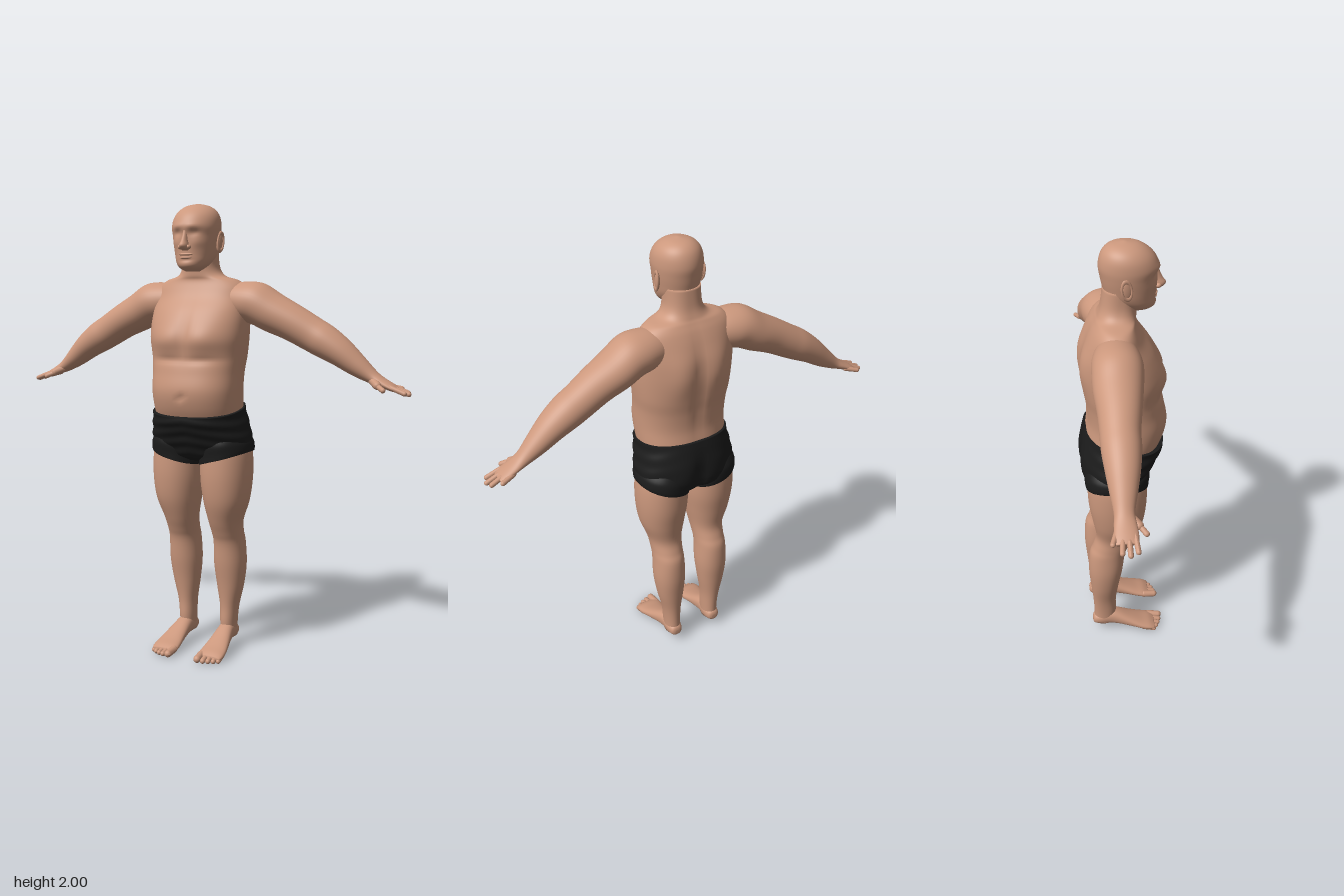
import * as THREE from 'three';

const skin = new THREE.MeshStandardMaterial({ color: 0xcc987d });
skin.name = 'skin';
const cloth = new THREE.MeshStandardMaterial({ color: 0x1c1c1c });
cloth.name = 'blackCloth';
const white = new THREE.MeshStandardMaterial({ color: 0xd8cfc8 });
white.name = 'eyeWhite';
const dark = new THREE.MeshStandardMaterial({ color: 0x2b1c16 });
dark.name = 'darkBrown';

// Soft bump centred on (a, b) with radii ra, rb
const bump = (x, y, a, b, ra, rb) => Math.exp(-(((x - a) / ra) ** 2) - ((y - b) / rb) ** 2);
const pow = (v, e) => Math.sign(v) * Math.abs(v) ** e;

// Closed skin through rings: rows are splined, place() turns a row and an angle into a point
function loft(rows, place, sides = 40, steps = 5) {
  const pos = [], index = [];
  const at = (i) => rows[Math.max(0, Math.min(rows.length - 1, i))];
  const count = (rows.length - 1) * steps;
  for (let k = 0; k <= count; k++) {
    const i = Math.min(Math.floor(k / steps), rows.length - 2), t = k / steps - i;
    const row = rows[0].map((_, c) => {
      const [p, q, r, s] = [at(i - 1)[c], at(i)[c], at(i + 1)[c], at(i + 2)[c]];
      return q + 0.5 * t * (r - p + t * (2 * p - 5 * q + 4 * r - s + t * (3 * (q - r) + s - p)));
    });
    for (let j = 0; j < sides; j++) {
      const a = (j / sides) * Math.PI * 2;
      pos.push(...place(row, Math.cos(a), Math.sin(a)));
    }
  }
  for (let k = 0; k < count; k++) for (let j = 0; j < sides; j++) {
    const n = (j + 1) % sides, a = k * sides + j, c = k * sides + n;
    index.push(a, a + sides, c, c, a + sides, c + sides);
  }
  // End caps
  for (const k of [0, count]) {
    const mid = [0, 0, 0], id = pos.length / 3;
    for (let j = 0; j < sides; j++) for (let d = 0; d < 3; d++) mid[d] += pos[(k * sides + j) * 3 + d] / sides;
    pos.push(...mid);
    for (let j = 0; j < sides; j++) {
      const a = k * sides + j, b = k * sides + ((j + 1) % sides);
      index.push(id, ...(k ? [b, a] : [a, b]));
    }
  }
  const g = new THREE.BufferGeometry();
  g.setAttribute('position', new THREE.Float32BufferAttribute(pos, 3));
  g.setIndex(index);
  g.computeVertexNormals();
  return g;
}

// Upright ring, row = [y, centre x, half width, front z, back z]
const upright = (e = 1) => ([y, cx, w, f, b], c, s) =>
  [cx + w * pow(c, e), y, (f + b) / 2 + ((f - b) / 2) * pow(s, e)];

function ellipsoid(x, y, z, rx, ry, rz) {
  return new THREE.SphereGeometry(1, 20, 14).scale(rx, ry, rz).translate(x, y, z);
}

// Rounded digit between two points
function digit(a, b, r) {
  const p = new THREE.Vector3(...a), q = new THREE.Vector3(...b), d = q.clone().sub(p);
  const g = new THREE.CapsuleGeometry(r, d.length(), 6, 12);
  g.applyQuaternion(new THREE.Quaternion().setFromUnitVectors(new THREE.Vector3(0, 1, 0), d.normalize()));
  return g.translate(...p.add(q).multiplyScalar(0.5).toArray());
}

function mirrored(geo) {
  const g = geo.clone().scale(-1, 1, 1), ix = g.index.array;
  for (let i = 0; i < ix.length; i += 3) [ix[i], ix[i + 1]] = [ix[i + 1], ix[i]];
  g.computeVertexNormals();
  return g;
}

export function createModel() {
  const model = new THREE.Group();
  model.name = 'man';
  const add = (name, geo, mat = skin) => {
    const m = new THREE.Mesh(geo, mat);
    m.name = name;
    model.add(m);
  };
  const pair = (name, geo, mat = skin) => {
    add(name + 'Left', geo, mat);
    add(name + 'Right', mirrored(geo), mat);
  };

  // Torso and neck, with chest, belly, shoulder blades and spine shaped in
  add('torso', loft([
    [1.04, 0, 0.19, 0.13, -0.16], [1.12, 0, 0.197, 0.172, -0.163], [1.2, 0, 0.2, 0.19, -0.155],
    [1.28, 0, 0.203, 0.176, -0.16], [1.35, 0, 0.212, 0.164, -0.17], [1.42, 0, 0.219, 0.172, -0.177],
    [1.48, 0, 0.221, 0.158, -0.177], [1.54, 0, 0.22, 0.128, -0.17], [1.6, 0, 0.215, 0.085, -0.152],
    [1.645, 0, 0.203, 0.062, -0.133], [1.675, 0, 0.168, 0.052, -0.115], [1.695, 0, 0.106, 0.056, -0.103],
    [1.735, 0, 0.081, 0.06, -0.09], [1.81, 0, 0.079, 0.07, -0.08],
  ], (r, c, s) => {
    const p = upright(0.86)(r, c, s), x = Math.abs(p[0]), y = p[1];
    if (s > 0) {
      p[2] += s * (0.014 * bump(x, y, 0.09, 1.42, 0.07, 0.06) - 0.008 * bump(x, y, 0, 1.45, 0.02, 0.1)
        - 0.008 * bump(x, y, 0.08, 1.335, 0.1, 0.015) - 0.01 * bump(x, y, 0, 1.175, 0.014, 0.014));
    } else {
      p[2] += s * (0.014 * bump(x, y, 0.09, 1.48, 0.06, 0.1) - 0.012 * bump(x, y, 0, 1.4, 0.025, 0.2));
    }
    return p;
  }, 72, 6));

  // Head with brow, eye sockets and cheeks
  add('head', loft([
    [1.712, 0, 0.03, 0.1, 0.03], [1.728, 0, 0.056, 0.13, 0], [1.75, 0, 0.074, 0.138, -0.04],
    [1.78, 0, 0.086, 0.137, -0.07], [1.82, 0, 0.094, 0.139, -0.082], [1.86, 0, 0.1, 0.141, -0.09],
    [1.9, 0, 0.103, 0.148, -0.096], [1.94, 0, 0.097, 0.131, -0.09], [1.97, 0, 0.079, 0.102, -0.074],
    [1.99, 0, 0.048, 0.065, -0.045], [2, 0, 0.006, 0.016, 0.004],
  ], (r, c, s) => {
    const p = upright()(r, c, s), x = Math.abs(p[0]), y = p[1];
    if (s > 0) {
      p[2] += s * (0.004 * bump(x, y, 0.035, 1.9, 0.03, 0.012) - 0.009 * bump(x, y, 0.04, 1.872, 0.022, 0.014)
        + 0.005 * bump(x, y, 0.055, 1.83, 0.025, 0.02) - 0.006 * bump(x, y, 0, 1.757, 0.03, 0.008));
    }
    return p;
  }, 64, 6));

  // Face details
  add('nose', loft([
    [1.797, 0, 0.012, 0.15, 0.11], [1.806, 0, 0.02, 0.168, 0.11], [1.82, 0, 0.019, 0.176, 0.11],
    [1.84, 0, 0.014, 0.163, 0.11], [1.87, 0, 0.011, 0.149, 0.11], [1.895, 0, 0.012, 0.143, 0.11],
  ], upright(), 24));
  pair('nostril', ellipsoid(0.019, 1.812, 0.143, 0.011, 0.01, 0.013));
  add('upperLip', ellipsoid(0, 1.782, 0.128, 0.034, 0.007, 0.014));
  add('lowerLip', ellipsoid(0, 1.768, 0.128, 0.029, 0.007, 0.013));
  pair('eye', ellipsoid(0.041, 1.872, 0.11, 0.017, 0.008, 0.013), white);
  pair('iris', ellipsoid(0.041, 1.872, 0.12, 0.0065, 0.0065, 0.004), dark);
  pair('upperLid', ellipsoid(0.041, 1.882, 0.109, 0.02, 0.005, 0.014));
  pair('lowerLid', ellipsoid(0.041, 1.862, 0.109, 0.018, 0.004, 0.013));
  pair('ear', ellipsoid(0, 0, 0, 0.009, 0.04, 0.021).rotateX(-0.15).rotateY(-0.2).translate(0.099, 1.835, 0.008));
  pair('earRim', new THREE.TorusGeometry(0.02, 0.005, 8, 28).rotateY(Math.PI / 2)
    .scale(1, 1.9, 1).rotateX(-0.15).rotateY(-0.2).translate(0.104, 1.837, 0.007));

  // Arms, row = [x, y, z, half thickness, half depth, droop angle]
  pair('arm', loft([
    [0.07, 1.585, -0.042, 0.045, 0.05, 0.05], [0.13, 1.587, -0.042, 0.073, 0.082, 0.1],
    [0.2, 1.583, -0.045, 0.087, 0.1, 0.15],
    [0.26, 1.573, -0.047, 0.091, 0.104, 0.3], [0.33, 1.535, -0.053, 0.085, 0.1, 0.42],
    [0.42, 1.492, -0.058, 0.078, 0.088, 0.5], [0.5, 1.448, -0.065, 0.074, 0.08, 0.52],
    [0.56, 1.415, -0.067, 0.071, 0.078, 0.55], [0.63, 1.371, -0.07, 0.06, 0.068, 0.6],
    [0.7, 1.318, -0.075, 0.046, 0.053, 0.6], [0.76, 1.276, -0.08, 0.03, 0.04, 0.58],
    [0.8, 1.255, -0.081, 0.021, 0.043, 0.5], [0.85, 1.232, -0.082, 0.015, 0.046, 0.42],
    [0.875, 1.222, -0.084, 0.008, 0.04, 0.42],
  ], ([x, y, z, a, b, t], c, s) => [x - a * c * Math.sin(t), y - a * c * Math.cos(t), z + b * s], 40));

  // Fingers and thumb
  [[-0.05, 0.907, -0.046], [-0.073, 0.918, -0.075], [-0.095, 0.908, -0.104], [-0.116, 0.873, -0.135]]
    .forEach(([z, tip, tz], i) => pair('finger' + (i + 1),
      digit([0.84 - (i === 3 ? 0.02 : 0), 1.238, z], [tip, 1.208 + (0.918 - tip) * 0.4, tz], 0.0105)));
  pair('thumbBase', digit([0.765, 1.263, -0.062], [0.797, 1.243, -0.03], 0.017));
  pair('thumb', digit([0.795, 1.243, -0.03], [0.828, 1.226, -0.006], 0.011));

  // Legs
  pair('leg', loft([
    [0.05, 0.105, 0.035, -0.052, -0.148], [0.12, 0.105, 0.037, -0.043, -0.148], [0.2, 0.108, 0.043, -0.043, -0.152],
    [0.3, 0.112, 0.062, -0.03, -0.162], [0.4, 0.113, 0.073, -0.012, -0.17], [0.5, 0.113, 0.07, 0.001, -0.165],
    [0.55, 0.112, 0.07, 0.02, -0.147], [0.61, 0.112, 0.077, 0.047, -0.132], [0.7, 0.119, 0.1, 0.08, -0.146],
    [0.8, 0.119, 0.113, 0.095, -0.163], [0.9, 0.118, 0.113, 0.096, -0.168], [0.98, 0.113, 0.105, 0.09, -0.165],
  ], upright(0.95), 44));

  // Feet run from heel to ball, row = [z, centre x, half width, top y, sole y]
  pair('foot', loft([
    [-0.156, 0.105, 0.012, 0.075, 0.052], [-0.148, 0.105, 0.027, 0.092, 0.042], [-0.12, 0.105, 0.036, 0.105, 0.036],
    [-0.07, 0.106, 0.037, 0.118, 0.034], [-0.03, 0.108, 0.041, 0.107, 0.03], [0.03, 0.112, 0.05, 0.078, 0.02],
    [0.08, 0.114, 0.058, 0.056, 0.01], [0.12, 0.114, 0.06, 0.042, 0.004], [0.145, 0.114, 0.054, 0.028, 0.006],
  ], ([z, cx, w, t, b], c, s) => [cx + w * pow(s, 0.9), (t + b) / 2 + ((t - b) / 2) * pow(c, 0.9), z], 32));
  [[0.07, 0.171, 0.0165], [0.097, 0.17, 0.012], [0.119, 0.163, 0.0115], [0.14, 0.153, 0.011], [0.159, 0.14, 0.0105]]
    .forEach(([x, z, r], i) => pair('toe' + (i + 1), digit([x, 0.022, z - 0.05], [x + 0.003, r, z], r)));

  // Shorts: seat with a sloping waistband and soft folds
  const folds = (x, y) => 0.002 * Math.sin(y * 110 + Math.abs(x) * 22);
  add('shortsSeat', loft([
    [0.885, 0, 0.1, 0.05, -0.13], [0.905, 0, 0.19, 0.085, -0.17], [0.94, 0, 0.231, 0.106, -0.181],
    [0.98, 0, 0.231, 0.127, -0.185], [1.03, 0, 0.222, 0.15, -0.186], [1.08, 0, 0.21, 0.172, -0.18],
    [1.118, 0, 0.203, 0.18, -0.172],
  ], (r, c, s) => {
    const p = upright(0.86)(r, c, s), x = Math.abs(p[0]), y = p[1];
    p[0] += c * folds(x, y);
    if (s > 0) p[2] += s * (folds(x, y) + 0.006 * bump(x, y, 0, 0.95, 0.05, 0.05));
    else p[2] += s * (0.01 * bump(x, y, 0.09, 0.98, 0.07, 0.07) - 0.016 * bump(x, y, 0, 0.95, 0.025, 0.09));
    p[1] -= p[2] * 0.17 * Math.max(0, (y - 0.95) / 0.165);
    return p;
  }, 72, 6), cloth);

  // Short legs with hems dropping toward the inside
  pair('shortsLeg', loft([
    [0.895, 0.118, 0.117, 0.102, -0.174], [0.92, 0.118, 0.118, 0.104, -0.178],
    [0.96, 0.116, 0.114, 0.108, -0.178], [1.0, 0.113, 0.1, 0.1, -0.165],
  ], (r, c, s) => {
    const p = upright(0.93)(r, c, s);
    p[1] += 0.035 * c * Math.min(1, (1.0 - r[0]) / 0.1);
    return p;
  }, 44), cloth);

  return model;
}
